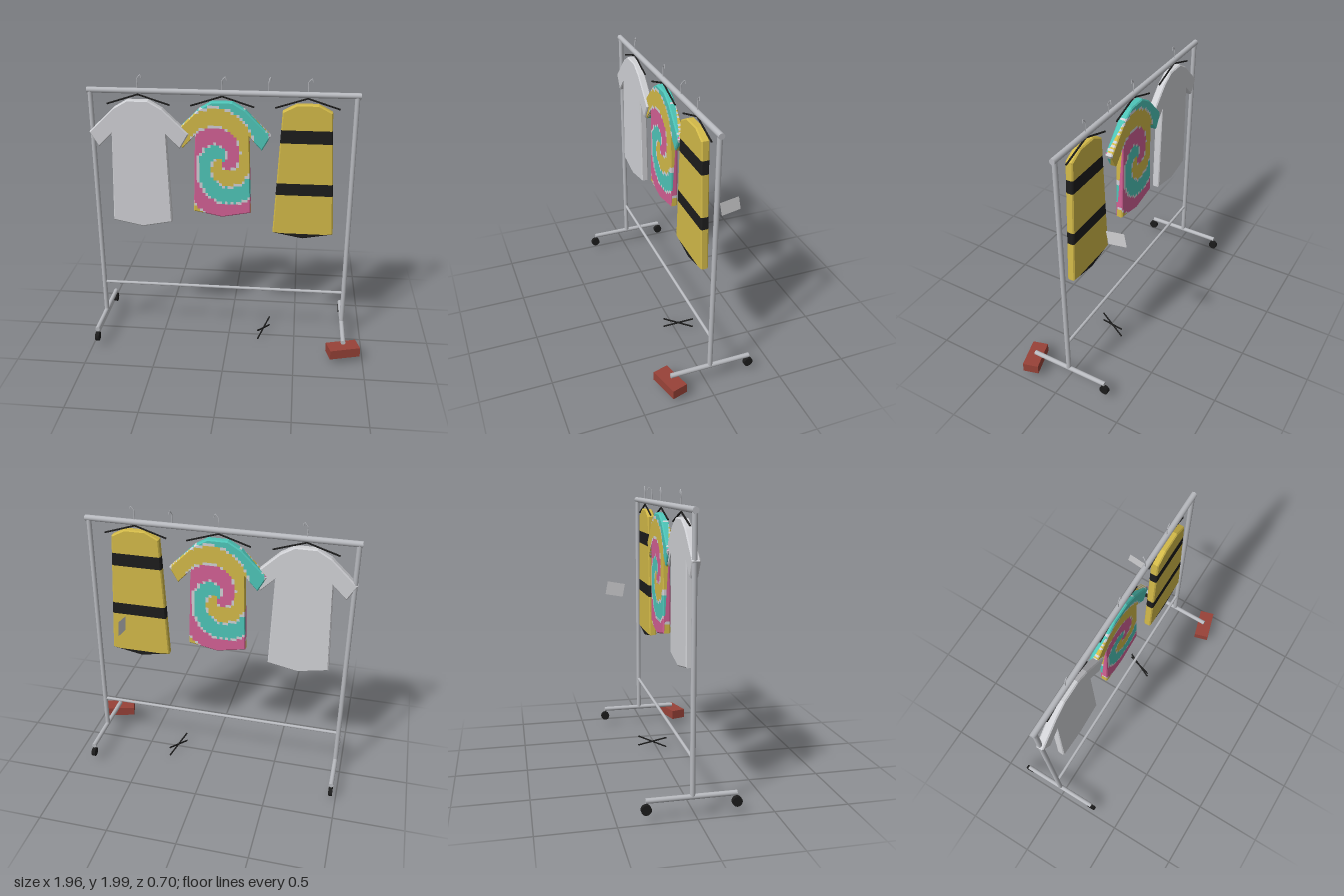
import * as THREE from 'three';

const mat = (name, color, extra = {}) =>
  Object.assign(new THREE.MeshStandardMaterial({ color, ...extra }), { name });
const metal = mat('rackMetal', 0xb8babf);
const black = mat('black', 0x1c1c1c);
const pale = mat('paleFabric', 0xd0d1d5);
const yellow = mat('yellowFabric', 0xd2b948);
const teal = mat('tealFabric', 0x4ec5b8);
const pink = mat('pinkFabric', 0xd26094);
const brickRed = mat('brickRed', 0x984238);
const paper = mat('paper', 0xd0d0d2, { side: THREE.DoubleSide });

const Z = -0.026; // plane of the rack
const V = (x, y, z) => new THREE.Vector3(x, y, z);

function add(parent, name, geo, material, x = 0, y = 0, z = 0) {
  const m = new THREE.Mesh(geo, material);
  m.name = name;
  m.position.set(x, y, z);
  parent.add(m);
  return m;
}

// Round bar between two points
function bar(parent, name, a, b, r, material, sides = 16) {
  const d = b.clone().sub(a);
  const m = add(parent, name, new THREE.CylinderGeometry(r, r, d.length(), sides), material);
  m.position.copy(a).add(b).multiplyScalar(0.5);
  m.quaternion.setFromUnitVectors(V(0, 1, 0), d.normalize());
  return m;
}

// Mirrors a half outline and extrudes it with a small bevel
function garment(half) {
  const pts = [...half, ...half.filter(p => p[0] > 0).reverse().map(([x, y]) => [-x, y])];
  const shape = new THREE.Shape(pts.map(p => new THREE.Vector2(...p)));
  const depth = 0.038, b = 0.008;
  const geo = new THREE.ExtrudeGeometry(shape, {
    depth, bevelEnabled: true, bevelThickness: b, bevelSize: b, bevelOffset: -b, bevelSegments: 1,
  });
  return geo.translate(0, 0, -depth / 2);
}

// Splits a convex polygon at axis = v
function split(poly, axis, v) {
  const low = [], high = [];
  poly.forEach((p, i) => {
    const q = poly[(i + 1) % poly.length], dp = p[axis] - v, dq = q[axis] - v;
    if (dp <= 0) low.push(p);
    if (dp >= 0) high.push(p);
    if (dp * dq < 0) {
      const c = p.clone().lerp(q, dp / (dp - dq));
      low.push(c);
      high.push(c);
    }
  });
  return [low, high].filter(s => s.length > 2);
}

// Cuts a surface along the given lines and sorts the pieces into material groups
function paint(source, cuts, count, pick) {
  const src = source.index ? source.toNonIndexed() : source;
  const pos = src.attributes.position;
  const buckets = Array.from({ length: count }, () => []);
  for (let i = 0; i < pos.count; i += 3) {
    let polys = [[0, 1, 2].map(k => V().fromBufferAttribute(pos, i + k))];
    for (const [axis, values] of cuts)
      for (const v of values)
        polys = polys.flatMap(p =>
          p.some(q => q[axis] < v - 1e-6) && p.some(q => q[axis] > v + 1e-6) ? split(p, axis, v) : [p]);
    for (const p of polys) {
      const c = p.reduce((s, q) => s.add(q), V(0, 0, 0)).divideScalar(p.length);
      const out = buckets[pick(c)];
      for (let k = 1; k < p.length - 1; k++)
        for (const q of [p[0], p[k], p[k + 1]]) out.push(q.x, q.y, q.z);
    }
  }
  const geo = new THREE.BufferGeometry();
  geo.setAttribute('position', new THREE.Float32BufferAttribute(buckets.flat(), 3));
  let start = 0;
  buckets.forEach((b, i) => {
    geo.addGroup(start, b.length / 3, i);
    start += b.length / 3;
  });
  geo.computeVertexNormals();
  return geo;
}

// Three-colour spiral in small square cells, with broken pale borders
const CELL = 0.02;
function swirl(c) {
  const i = Math.floor((c.z >= 0 ? c.x : -c.x) / CELL), j = Math.floor((c.y - 1.4) / CELL);
  const x = (i + 0.5) * CELL * 1.12, y = (j + 0.5) * CELL * 0.9;
  let t = Math.hypot(x, y) / 0.369 - Math.atan2(y, x) / (2 * Math.PI) - 0.015;
  t = (t - Math.floor(t)) * 3;
  const noise = Math.abs(Math.sin(i * 12.99 + j * 78.23) * 43758.5) % 1;
  if (Math.abs(t - Math.round(t)) < 0.02 + 0.07 * noise) return 3;
  return Math.floor(t) % 3;
}

function hook(parent, x, turn = 0) {
  const path = new THREE.CatmullRomCurve3([
    V(0, 1.865, 0), V(0, 1.93, 0), V(0, 1.967, 0), V(0.013, 1.985, 0), V(0.024, 1.994, 0), V(0.029, 1.972, 0),
  ]);
  add(parent, 'hangerHook', new THREE.TubeGeometry(path, 20, 0.0035, 6), metal, x, 0, Z).rotation.y = turn;
}

export function createModel() {
  const root = new THREE.Group();
  root.name = 'clothesRack';

  // Rack frame
  const L = -0.96, R = 0.855;
  bar(root, 'topRail', V(-0.982, 1.885, Z), V(0.88, 1.885, Z), 0.02, metal);
  bar(root, 'lowerRail', V(L, 0.39, Z), V(R, 0.39, Z), 0.011, metal);
  for (const x of [L, R]) {
    bar(root, 'post', V(x, 0.14, Z), V(x, 1.885, Z), 0.017, metal);
    bar(root, 'foot', V(x, 0.14, -0.32), V(x, 0.14, 0.261), 0.017, metal);
  }

  // Casters; a brick stands in for the missing one
  for (const [x, z] of [[L, 0.263], [L, -0.317], [R, -0.317]])
    bar(root, 'caster', V(x - 0.014, 0.082, z), V(x + 0.014, 0.082, z), 0.033, black, 20);
  add(root, 'brick', new THREE.BoxGeometry(0.223, 0.07, 0.112), brickRed, R, 0.085, 0.265).rotation.y = 0.28;

  // Hangers in use
  for (const x of [-0.63, -0.05, 0.528]) {
    hook(root, x);
    for (const s of [-1, 1])
      bar(root, 'hangerArm', V(x, 1.86, Z), V(x + s * 0.218, 1.79, Z), 0.006, black, 8);
  }

  // Empty hook and the fallen hanger below it
  hook(root, 0.265, 1.2);
  const fallen = new THREE.Group();
  fallen.name = 'fallenHanger';
  fallen.position.set(0.265, 0.046, -0.03);
  fallen.rotation.y = 1.2;
  for (const s of [-1, 1])
    bar(fallen, 'fallenArm', V(-0.11, -0.037 * s, 0), V(0.11, 0.037 * s, 0), 0.006, black, 8);
  root.add(fallen);

  // Plain shirt
  const plain = garment([
    [0, 0.885], [0.215, 0.928], [0.191, 1.585], [0.286, 1.488], [0.35, 1.595], [0.168, 1.77], [0.073, 1.825],
  ]);
  add(root, 'plainShirt', plain, pale, -0.63, 0, -0.018);

  // Spiral dyed shirt
  const lines = (from, to) =>
    Array.from({ length: Math.round((to - from) / CELL) + 1 }, (_, i) => from + i * CELL);
  const dyed = garment([
    [0, 0.978], [0.205, 1.018], [0.188, 1.585], [0.276, 1.488], [0.337, 1.595], [0.16, 1.772], [0.07, 1.825],
  ]);
  const cells = [['x', lines(-0.34, 0.34)], ['y', lines(0.96, 1.84)]];
  add(root, 'dyedShirt', paint(dyed, cells, 4, swirl), [pink, yellow, teal, pale], -0.05, 0, -0.031);

  // Striped dress with dark bands and hem
  const dress = garment([[0, 0.842], [0.216, 0.882], [0.168, 1.775], [0.073, 1.825]]);
  const bands = [0.88, 1.175, 1.262, 1.555, 1.648];
  const striped = paint(dress, [['y', bands]], 2, c => (bands.filter(v => v < c.y).length % 2 ? 0 : 1));
  add(root, 'stripedDress', striped, [yellow, black], 0.53, 0, -0.011);

  // Price tag
  const tag = add(root, 'tag', new THREE.PlaneGeometry(0.137, 0.102), paper, 0.575, 1.207, -0.258);
  tag.rotation.set(0.185, Math.PI / 2, 0, 'XYZ');

  return root;
}
